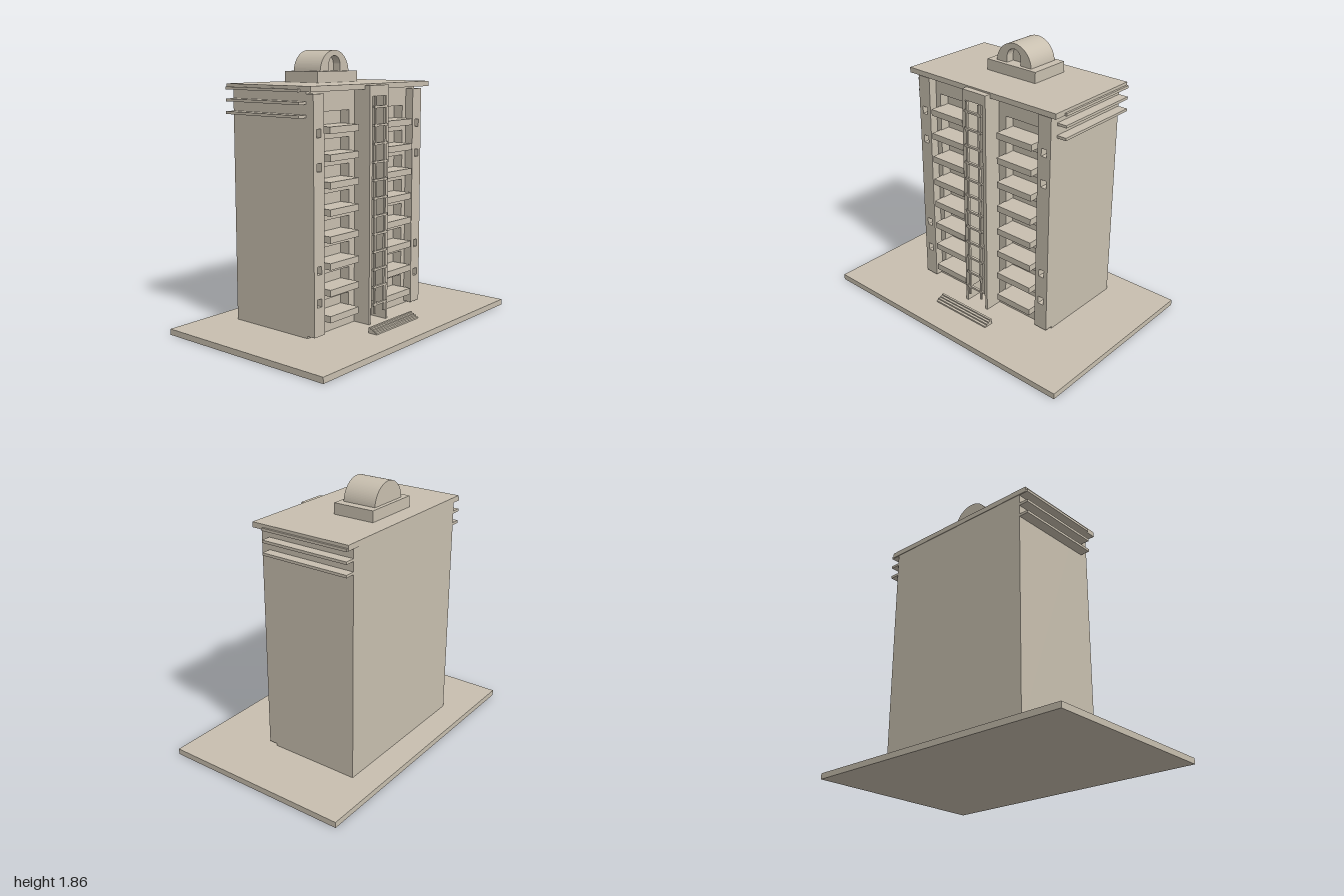
import * as THREE from 'three';

const stone = new THREE.MeshStandardMaterial({ color: 0xc8bfaf });
stone.name = 'warm stone';

export function createModel() {
  const model = new THREE.Group();
  model.name = 'towerBlock';

  const add = (name, geometry) => {
    const mesh = new THREE.Mesh(geometry, stone);
    mesh.name = name;
    model.add(mesh);
    return mesh;
  };

  // Box given by its limits on each axis
  const box = (name, x0, x1, y0, y1, z0, z1) => {
    const g = new THREE.BoxGeometry(x1 - x0, y1 - y0, z1 - z0);
    g.translate((x0 + x1) / 2, (y0 + y1) / 2, (z0 + z1) / 2);
    return add(name, g);
  };

  const rect = (Type, x0, x1, y0, y1) => {
    const s = new Type();
    s.moveTo(x0, y0);
    s.lineTo(x1, y0);
    s.lineTo(x1, y1);
    s.lineTo(x0, y1);
    s.closePath();
    return s;
  };

  // Upright panel with cut-outs, from z0 to z1
  const panel = (name, shape, z0, z1) => {
    const g = new THREE.ExtrudeGeometry(shape, { depth: z1 - z0, bevelEnabled: false, curveSegments: 24 });
    g.translate(0, 0, z0);
    return add(name, g);
  };

  // Ground plate and solid core
  box('ground', -1, 1, 0, 0.04, -0.667, 0.667);
  box('core', -0.57, 0.57, 0.04, 1.605, -0.48, 0.09);

  // Facade with recessed windows, and a balcony under each
  const facade = rect(THREE.Shape, -0.57, 0.57, 0.04, 1.605);
  for (let i = 0; i < 8; i++) {
    const y = 0.125 + i * 0.1736;
    for (const s of [-1, 1]) {
      const c = s * 0.294;
      facade.holes.push(rect(THREE.Path, c - 0.136, c + 0.136, y + 0.02, y + 0.133));
      box('balcony', c - 0.143, c + 0.143, y, y + 0.044, 0.09, 0.24);
    }
  }
  panel('facade', facade, 0.09, 0.16);

  // Corner pilasters with small windows, and side fins near the roof
  for (const s of [-1, 1]) {
    const c = s * 0.52;
    const pilaster = rect(THREE.Shape, c - 0.05, c + 0.05, 0.055, 1.59);
    for (const y of [0.245, 0.457, 1.11, 1.322]) {
      pilaster.holes.push(rect(THREE.Path, c - 0.021, c + 0.021, y, y + 0.053));
    }
    panel('pilaster', pilaster, 0.16, 0.22);
    for (const y of [1.443, 1.525, 1.602]) {
      box('sideFin', Math.min(s * 0.56, s * 0.638), Math.max(s * 0.56, s * 0.638), y, y + 0.018, -0.48, 0.16);
    }
  }

  // Central shaft: a frame open at the front, wider at the doorway
  const shaft = new THREE.Shape([
    [-0.1, 0.04], [-0.083, 0.04], [-0.083, 0.148], [-0.073, 0.148], [-0.073, 1.56],
    [0.073, 1.56], [0.073, 0.148], [0.083, 0.148], [0.083, 0.04], [0.1, 0.04],
    [0.1, 1.63], [-0.1, 1.63],
  ].map(([x, y]) => new THREE.Vector2(x, y)));
  panel('shaft', shaft, 0.16, 0.288);

  // Ladder in front of the shaft
  for (const s of [-1, 1]) {
    box('ladderRail', s * 0.052 - 0.007, s * 0.052 + 0.007, 0.11, 1.56, 0.288, 0.303);
  }
  for (let i = 0; i < 12; i++) {
    const y = 0.165 + i * 0.12;
    box('ladderRung', -0.074, 0.074, y, y + 0.014, 0.286, 0.304);
  }

  // Entrance steps
  [[0.455, 0.05], [0.437, 0.06], [0.42, 0.068], [0.403, 0.077]].forEach(([z, top], i) => {
    box('step', -0.233, 0.233, i ? 0.05 + (i - 1) * 0.009 : 0.04, top, 0.388, z);
  });

  // Roof slab and penthouse base
  box('roof', -0.624, 0.624, 1.604, 1.64, -0.484, 0.245);
  box('penthouseBase', -0.206, 0.206, 1.64, 1.715, -0.36, -0.065);

  // Barrel vault with an arched niche in its front
  const vaultShape = () => {
    const s = new THREE.Shape();
    s.moveTo(-0.147, 1.715);
    s.lineTo(0.147, 1.715);
    s.absarc(0, 1.708, 0.147, 0.048, Math.PI - 0.048, false);
    s.closePath();
    return s;
  };
  panel('vault', vaultShape(), -0.333, -0.155);
  const front = new THREE.Shape();
  front.moveTo(0.058, 1.715);
  front.lineTo(0.147, 1.715);
  front.absarc(0, 1.708, 0.147, 0.048, Math.PI - 0.048, false);
  front.lineTo(-0.147, 1.715);
  front.lineTo(-0.058, 1.715);
  front.absarc(0, 1.76, 0.058, Math.PI, 0, true);
  front.closePath();
  panel('vaultArch', front, -0.155, -0.095);

  return model;
}
